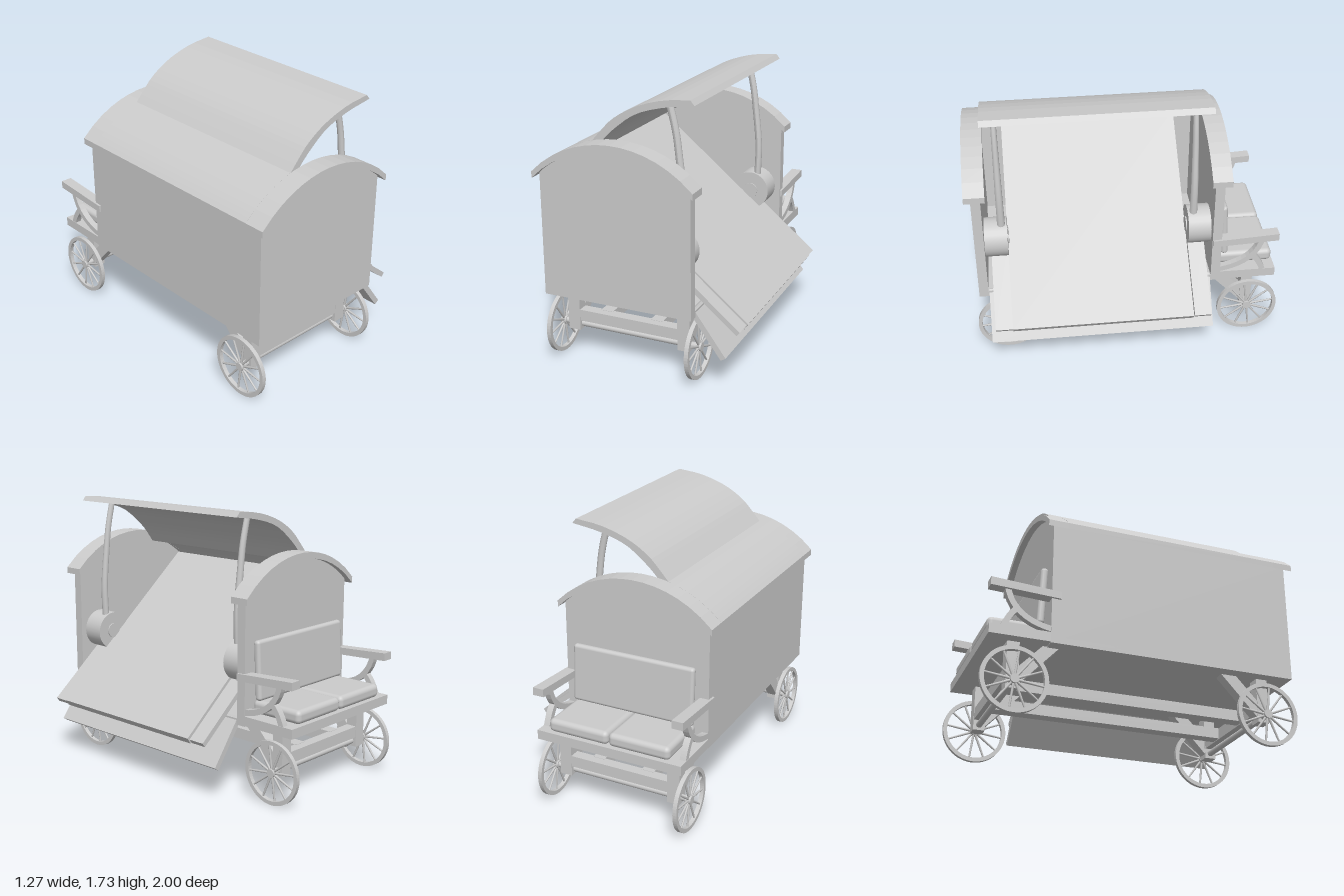
import * as THREE from 'three';
import { RoundedBoxGeometry } from 'three/addons/geometries/RoundedBoxGeometry.js';

const CX = -0.125; // middle of the wagon body
const mat = new THREE.MeshStandardMaterial({ color: 0xcccccc, side: THREE.DoubleSide });

export function createModel() {
  const model = new THREE.Group();

  function add(name, geometry, x = 0, y = 0, z = 0, parent = model) {
    const mesh = new THREE.Mesh(geometry, mat);
    mesh.name = name;
    mesh.position.set(x, y, z);
    parent.add(mesh);
    return mesh;
  }
  // Box given by its limits
  function box(name, x0, x1, y0, y1, z0, z1) {
    return add(name, new THREE.BoxGeometry(x1 - x0, y1 - y0, z1 - z0), (x0 + x1) / 2, (y0 + y1) / 2, (z0 + z1) / 2);
  }
  // Outline in x, y drawn out from z0 to z1
  function slab(name, points, z0, z1) {
    const shape = new THREE.Shape(points.map(p => new THREE.Vector2(p[0], p[1])));
    return add(name, new THREE.ExtrudeGeometry(shape, { depth: z1 - z0, bevelEnabled: false }), 0, 0, z0);
  }
  // Outline in z, y drawn out across x
  function sideSlab(name, points, x0, x1) {
    const shape = new THREE.Shape(points.map(p => new THREE.Vector2(-p[0], p[1])));
    const mesh = add(name, new THREE.ExtrudeGeometry(shape, { depth: x1 - x0, bevelEnabled: false }), x0, 0, 0);
    mesh.rotation.y = Math.PI / 2;
    return mesh;
  }
  function arc(x0, x1, lift = 0, n = 14) {
    const pts = [];
    for (let i = 0; i <= n; i++) {
      const x = x0 + (x1 - x0) * i / n;
      pts.push([x, 0.691 + lift + Math.sqrt(0.724 ** 2 - (x - CX) ** 2)]);
    }
    return pts;
  }
  const smooth = (pts, n) => new THREE.CatmullRomCurve3(pts.map(p => new THREE.Vector3(p[0], p[1], p[2] || 0))).getPoints(n).map(p => [p.x, p.y]);

  // Body: floor, long wall and two arched end walls
  box('floor', -0.61, 0.36, 0.45, 0.49, -0.6, 0.96);
  box('leftWall', -0.61, -0.58, 0.45, 1.24, -0.6, 0.96);
  const endOutline = [[0.36, 0.45], [-0.61, 0.45], ...arc(-0.61, 0.36)];
  slab('frontWall', endOutline, 0.9, 0.96);
  slab('backWall', endOutline, -0.6, -0.54);

  // Roof: end strips and the fixed half
  const roof = (x0, x1) => [...arc(x0, x1), ...arc(x0, x1, 0.04).reverse()];
  slab('roofFrontStrip', roof(-0.64, 0.39), 0.87, 1);
  slab('roofBackStrip', roof(-0.64, 0.39), -0.64, -0.515);
  slab('roofFixedHalf', roof(-0.64, -0.3), -0.515, 0.87);

  // Raised roof lid
  slab('roofLid', [
    ...smooth([[-0.32, 1.41], [-0.24, 1.5], [-0.17, 1.57], [-0.04, 1.65], [0.145, 1.71], [0.32, 1.73]], 14),
    ...smooth([[0.345, 1.7], [0.15, 1.67], [-0.02, 1.615], [-0.14, 1.53], [-0.22, 1.455], [-0.29, 1.365]], 14)
  ], -0.515, 0.87);

  // Curved lid struts, tapering upward, and their drums
  for (const [z, drumZ] of [[0.79, 0.827], [-0.43, -0.465]]) {
    const curve = new THREE.CatmullRomCurve3([[0.235, 0.88], [0.24, 1.12], [0.215, 1.37], [0.195, 1.52], [0.155, 1.69]].map(p => new THREE.Vector3(p[0], p[1], 0)));
    const strut = new THREE.TubeGeometry(curve, 20, 0.022, 10);
    const pos = strut.attributes.position;
    for (let i = 0; i < pos.count; i++) pos.setZ(i, pos.getZ(i) * (1.15 - 0.4 * (pos.getY(i) - 0.88) / 0.81));
    strut.computeVertexNormals();
    add('lidStrut', strut, 0, 0, z);
    for (const [x, y] of [[0.235, 0.88], [0.155, 1.69]]) add('strutEnd', new THREE.SphereGeometry(0.021, 10, 8), x, y, z);
    add('drum', new THREE.CylinderGeometry(0.125, 0.125, 0.145, 28), 0.2, 0.805, drumZ).rotation.x = Math.PI / 2;
    add('drumHub', new THREE.CylinderGeometry(0.05, 0.05, 0.16, 16), 0.2, 0.805, drumZ).rotation.x = Math.PI / 2;
  }

  // Sloping counter boards and lower skirt
  slab('slopingBoard', [[0.61, 0.358], [0.635, 0.395], [-0.44, 1.28], [-0.466, 1.245]], -0.39, 0.757);
  for (const z of [-0.505, 0.757]) slab('sideBoard', [[0.605, 0.362], [0.625, 0.388], [0.2, 0.738], [0.178, 0.712]], z, z + 0.108);
  slab('lowerBoard', [[0.52, 0.2], [0.55, 0.22], [0.345, 0.5], [0.315, 0.48]], -0.535, 0.895);

  // Undercarriage
  for (const s of [-1, 1]) {
    const x = CX + s * 0.17;
    box('longBeam', x - 0.04, x + 0.04, 0.24, 0.31, -0.78, 0.77);
  }
  for (const [z, s] of [[0.785, 1], [-0.8, -1]]) {
    box('crossBeam', -0.46, 0.21, 0.235, 0.308, z - 0.035, z + 0.035);
    add('axle', new THREE.CylinderGeometry(0.02, 0.02, 0.94, 12), CX, 0.205, z).rotation.z = Math.PI / 2;
    for (const side of [-1, 1]) {
      const x = CX + side * 0.373;
      box('axlePost', x - 0.04, x + 0.04, 0.17, 0.46, z - 0.037, z + 0.037);
      sideSlab('brace', [[z - s * 0.28, 0.46], [z - s * 0.18, 0.46], [z + s * 0.02, 0.25], [z - s * 0.02, 0.18]], x - 0.035, x + 0.035);
      wheel(CX + side * 0.462, z);
    }
  }

  // Twelve-spoke wheel
  function wheel(x, z) {
    const g = new THREE.Group();
    g.name = 'wheel';
    const rim = new THREE.Shape().absarc(0, 0, 0.2, 0, Math.PI * 2);
    rim.holes.push(new THREE.Path().absarc(0, 0, 0.175, 0, Math.PI * 2, true));
    add('rim', new THREE.ExtrudeGeometry(rim, { depth: 0.026, bevelEnabled: false, curveSegments: 32 }), 0, 0, -0.013, g);
    add('hub', new THREE.CylinderGeometry(0.027, 0.027, 0.036, 16), 0, 0, 0, g).rotation.x = Math.PI / 2;
    for (let i = 0; i < 12; i++) {
      const a = i * Math.PI / 6 + 0.13;
      add('spoke', new THREE.CylinderGeometry(0.006, 0.008, 0.165, 6), -Math.sin(a) * 0.1, Math.cos(a) * 0.1, 0, g).rotation.z = a;
    }
    g.position.set(x, 0.203, z);
    g.rotation.y = Math.PI / 2;
    model.add(g);
  }

  // Driver's bench at the back
  box('benchPlatform', -0.61, 0.36, 0.455, 0.515, -0.965, -0.54);
  for (const x of [-0.325, 0.083]) add('seatCushion', new RoundedBoxGeometry(0.405, 0.085, 0.36, 4, 0.03), x, 0.56, -0.775);
  const back = add('backCushion', new RoundedBoxGeometry(0.82, 0.37, 0.045, 4, 0.02), -0.12, 0.787, -0.63);
  back.rotation.x = 0.05;

  // Armrests with two curved supports each
  for (const side of [-1, 1]) {
    const x = CX + side * 0.463;
    sideSlab('armrest', [[-0.545, 0.73], [-0.545, 0.775], [-0.97, 0.8], [-0.97, 0.75]], x - 0.036, x + 0.036);
    const bow = (name, p0, p1, p2) => {
      const curve = new THREE.QuadraticBezierCurve(...[p0, p1, p2].map(p => new THREE.Vector2(...p)));
      const pts = curve.getPoints(10), left = [], right = [];
      pts.forEach((p, i) => {
        const t = curve.getTangent(i / 10);
        left.push([p.x - t.y * 0.018, p.y + t.x * 0.018]);
        right.unshift([p.x + t.y * 0.018, p.y - t.x * 0.018]);
      });
      sideSlab(name, [...left, ...right], x - 0.02, x + 0.02);
    };
    bow('armSupport', [-0.865, 0.76], [-0.83, 0.57], [-0.59, 0.535]);
    bow('armBrace', [-0.79, 0.645], [-0.85, 0.6], [-0.88, 0.51]);
  }
  return model;
}
